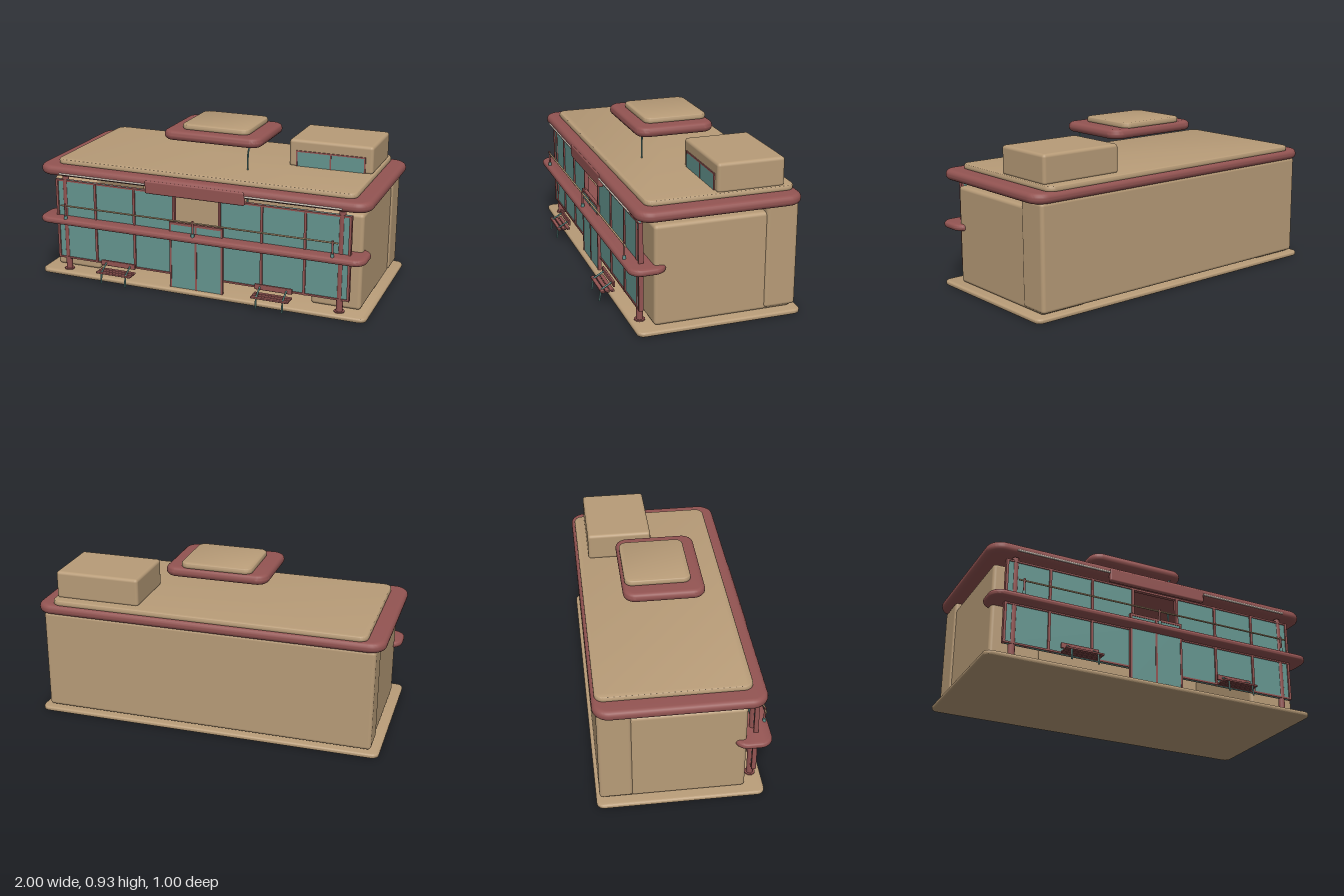
import * as THREE from 'three';
import { toCreasedNormals } from 'three/addons/utils/BufferGeometryUtils.js';
import { RoundedBoxGeometry } from 'three/addons/geometries/RoundedBoxGeometry.js';

const mat = (name, color) => {
  const m = new THREE.MeshStandardMaterial({ color });
  m.name = name;
  return m;
};

export function createModel() {
  const group = new THREE.Group();
  const tan = mat('tan stucco', 0xb89c78);
  const maroon = mat('maroon trim', 0x935452);
  const teal = mat('teal glass', 0x659690);
  const pale = mat('pale strip', 0xc9bdb2);

  const add = (name, geo, material, parent = group) => {
    const m = new THREE.Mesh(geo, material);
    m.name = name;
    parent.add(m);
    return m;
  };

  // Box given by its limits, optionally with rounded edges
  const box = (name, material, x0, x1, y0, y1, z0, z1, r = 0, parent = group) => {
    const s = [x1 - x0, y1 - y0, z1 - z0];
    const geo = r ? new RoundedBoxGeometry(...s, 3, r) : new THREE.BoxGeometry(...s);
    geo.translate((x0 + x1) / 2, (y0 + y1) / 2, (z0 + z1) / 2);
    return add(name, geo, material, parent);
  };

  // Horizontal slab with plan corners of radius r and edges rounded by b
  const slab = (name, material, x0, x1, y0, y1, z0, z1, r, b) => {
    const l = x0 + b, w = x1 - b, lo = -z1 + b, hi = -z0 - b, c = Math.max(r - b, 0.005);
    const s = new THREE.Shape();
    s.absarc(w - c, lo + c, c, -Math.PI / 2, 0);
    s.absarc(w - c, hi - c, c, 0, Math.PI / 2);
    s.absarc(l + c, hi - c, c, Math.PI / 2, Math.PI);
    s.absarc(l + c, lo + c, c, Math.PI, Math.PI * 1.5);
    const geo = new THREE.ExtrudeGeometry(s, {
      depth: y1 - y0 - 2 * b, bevelEnabled: true, bevelSize: b, bevelThickness: b,
      bevelSegments: 4, curveSegments: 8,
    });
    geo.rotateX(-Math.PI / 2).translate(0, y0 + b, 0);
    return add(name, toCreasedNormals(geo, 0.7), material);
  };

  // Round bar between two points
  const bar = (name, material, a, b, r, parent = group) => {
    const p = new THREE.Vector3(...a), q = new THREE.Vector3(...b);
    const m = add(name, new THREE.CylinderGeometry(r, r, p.distanceTo(q), 10), material, parent);
    m.position.copy(p).lerp(q, 0.5);
    m.quaternion.setFromUnitVectors(new THREE.Vector3(0, 1, 0), q.sub(p).normalize());
    return m;
  };

  // Ground plate, side wings and rear block
  slab('basePlate', tan, -1, 1, 0, 0.027, -0.5, 0.417, 0.04, 0.01);
  for (const s of [-1, 1]) {
    const x = [0.66 * s, 0.945 * s].sort((a, b) => a - b);
    box('sideWing', tan, x[0], x[1], 0.027, 0.583, -0.46, 0.313, 0.02);
  }
  box('rearBlock', tan, -0.955, 0.955, 0.038, 0.625, -0.482, -0.3, 0.02);

  // Roof
  slab('roofEdge', maroon, -1, 1, 0.618, 0.675, -0.5, 0.415, 0.09, 0.026);
  slab('roofDeck', tan, -0.905, 0.905, 0.67, 0.703, -0.482, 0.345, 0.05, 0.011);

  // Balcony belt
  slab('balcony', maroon, -0.99, 0.99, 0.333, 0.369, 0.248, 0.452, 0.07, 0.0165);

  // Glazing on two floors, with mullions
  const xs = [0.14, 0.39, 0.64, 0.89];
  for (const s of [-1, 1]) {
    for (const [y0, y1] of [[0.1, 0.335], [0.345, 0.59]]) {
      const span = [0.14 * s, 0.89 * s].sort((a, b) => a - b);
      box('windowGlass', teal, span[0], span[1], y0, y1, 0.362, 0.374);
      for (const y of [y0 + 0.005, y1 - 0.005])
        box('windowRail', maroon, span[0], span[1], y - 0.005, y + 0.005, 0.357, 0.38);
      for (const x of xs)
        box('mullion', maroon, x * s - 0.007, x * s + 0.007, y0, y1, 0.357, 0.382);
    }
    // Columns with feet
    bar('column', maroon, [0.84 * s, 0.027, 0.36], [0.84 * s, 0.61, 0.36], 0.019);
    bar('columnFoot', maroon, [0.84 * s, 0.024, 0.36], [0.84 * s, 0.033, 0.36], 0.03);
  }
  box('openingHead', maroon, -0.14, 0.14, 0.578, 0.59, 0.357, 0.38);

  // Entrance doors
  box('doorGlass', teal, -0.155, 0.155, 0.027, 0.412, 0.374, 0.388);
  box('doorHead', maroon, -0.162, 0.162, 0.41, 0.424, 0.37, 0.391);
  for (const x of [-0.157, 0, 0.157])
    box('doorPost', maroon, x - 0.006, x + 0.006, 0.027, 0.418, 0.37, 0.391);

  // Sign-board canopy and pale strips under the roof edge
  box('canopyBoard', maroon, -0.3, 0.3, 0.583, 0.66, 0.39, 0.419, 0.01);
  for (const s of [-1, 1]) {
    bar('roofStrip', pale, [0.3 * s, 0.635, 0.414], [0.85 * s, 0.635, 0.414], 0.006);
  }

  // Balcony railing
  bar('handrail', tan, [-0.84, 0.45, 0.432], [0.84, 0.45, 0.432], 0.005);
  for (const x of [-0.81, 0, 0.81]) {
    bar('railPost', maroon, [x, 0.385, 0.432], [x, 0.462, 0.432], 0.006);
    bar('railPostFoot', teal, [x, 0.366, 0.432], [x, 0.388, 0.432], 0.01);
  }

  // Raised roof canopy on a bent pole
  slab('upperCanopy', maroon, -0.3, 0.3, 0.84, 0.895, -0.27, 0.187, 0.07, 0.025);
  slab('upperCanopyCap', tan, -0.207, 0.207, 0.89, 0.925, -0.255, 0.115, 0.045, 0.012);
  const path = new THREE.CatmullRomCurve3([[0.218, 0.025], [0.218, 0.4], [0.218, 0.79], [0.222, 0.825], [0.238, 0.85]]
    .map(([x, y]) => new THREE.Vector3(x, y, 0.14)));
  add('canopyPole', new THREE.TubeGeometry(path, 32, 0.005, 8), teal);

  // Penthouse with a two-pane window
  box('penthouse', tan, 0.4, 0.893, 0.695, 0.857, -0.422, -0.045, 0.018);
  box('penthouseGlass', teal, 0.45, 0.845, 0.7, 0.792, -0.047, -0.041);
  box('penthouseWindowHead', maroon, 0.444, 0.851, 0.787, 0.795, -0.047, -0.039);
  for (const x of [0.448, 0.648, 0.847])
    box('penthouseMullion', maroon, x - 0.004, x + 0.004, 0.7, 0.79, -0.047, -0.039);

  // Benches
  for (const cx of [-0.478, 0.478]) {
    const bench = new THREE.Group();
    bench.name = 'bench';
    bench.position.x = cx;
    group.add(bench);
    for (const z of [0.484, 0.457, 0.43])
      box('seatSlat', maroon, -0.11, 0.11, 0.082, 0.094, z - 0.011, z + 0.011, 0.004, bench);
    box('backSlat', maroon, -0.11, 0.11, 0.11, 0.143, 0.415, 0.427, 0.004, bench);
    for (const x of [-0.077, 0.077]) {
      bar('benchLeg', teal, [x, 0.025, 0.496], [x, 0.09, 0.488], 0.005, bench);
      bar('benchBrace', teal, [x, 0.09, 0.488], [x, 0.128, 0.422], 0.005, bench);
    }
  }
  return group;
}
